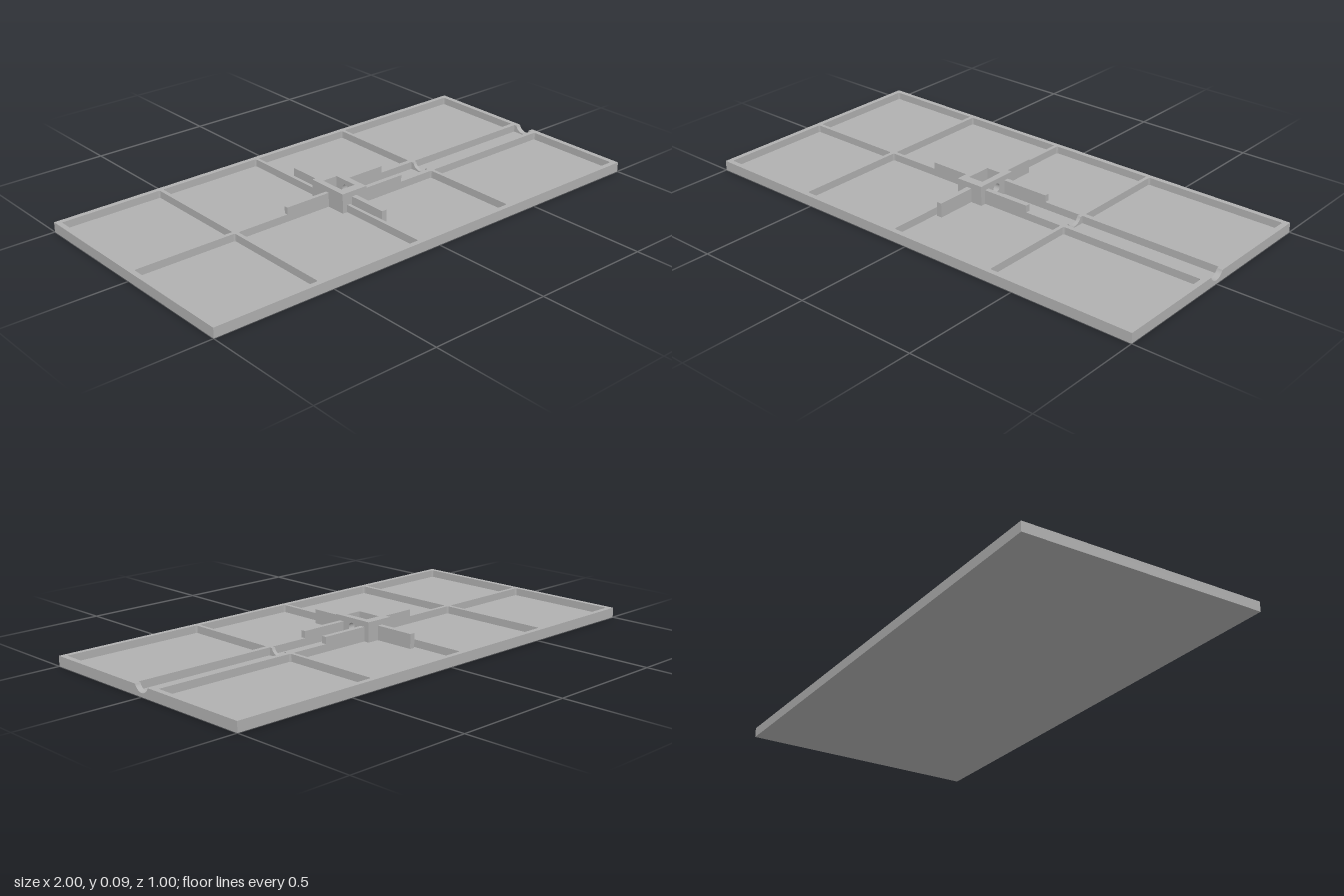
import * as THREE from 'three';

const FLOOR = 0.01, RIM = 0.04, WALL = 0.068, POST = 0.09;
const HOLE_Y = 0.053; // height of the shaft axis

export function createModel() {
  const model = new THREE.Group();
  const grey = new THREE.MeshStandardMaterial({ color: 0xb0b0b0 });
  grey.name = 'plainGrey';

  const add = (name, geometry) => {
    const mesh = new THREE.Mesh(geometry, grey);
    mesh.name = name;
    model.add(mesh);
  };

  // Box given by its lower and upper corners
  const box = (name, x0, x1, y0, y1, z0, z1) => add(name,
    new THREE.BoxGeometry(x1 - x0, y1 - y0, z1 - z0)
      .translate((x0 + x1) / 2, (y0 + y1) / 2, (z0 + z1) / 2));

  // Shape drawn in (z, y), extruded along x
  const crossWall = (name, shape, x0, x1) => add(name,
    new THREE.ExtrudeGeometry(shape, { depth: x1 - x0, bevelEnabled: false, curveSegments: 24 })
      .rotateY(Math.PI / 2).translate(x0, 0, 0));

  const polygon = (points) => new THREE.Shape(points.map(([x, y]) => new THREE.Vector2(x, y)));

  // Rectangular pocket with softly rounded corners
  const pocket = (x0, x1, z0, z1, r = 0.008) => {
    const p = new THREE.Path();
    p.moveTo(x0 + r, z0);
    p.lineTo(x1 - r, z0);
    p.quadraticCurveTo(x1, z0, x1, z0 + r);
    p.lineTo(x1, z1 - r);
    p.quadraticCurveTo(x1, z1, x1 - r, z1);
    p.lineTo(x0 + r, z1);
    p.quadraticCurveTo(x0, z1, x0, z1 - r);
    p.lineTo(x0, z0 + r);
    p.quadraticCurveTo(x0, z0, x0 + r, z0);
    return p;
  };

  // Base plate
  box('basePlate', -1, 1, 0, FLOOR, -0.5, 0.5);

  // Rim and ribs in one piece, open along the shaft channel
  const grid = polygon([
    [-1, -0.5], [1, -0.5], [1, -0.047], [-0.019, -0.047], [-0.019, -0.053], [-0.085, -0.053],
    [-0.085, 0.053], [-0.019, 0.053], [-0.019, 0.047], [1, 0.047], [1, 0.5], [-1, 0.5],
  ]);
  const bays = [
    [-0.979, -0.552, 0.008], [-0.536, -0.088, 0.008],
    [-0.073, 0.372, 0.067], [0.387, 0.978, 0.067],
  ];
  for (const [x0, x1, z] of bays) {
    grid.holes.push(pocket(x0, x1, z, 0.479), pocket(x0, x1, -0.479, -z));
  }
  add('rimAndRibs', new THREE.ExtrudeGeometry(grid,
    { depth: RIM - FLOOR, bevelEnabled: false, curveSegments: 4 })
    .rotateX(-Math.PI / 2).translate(0, FLOOR, 0));

  // Notched supports crossing the channel
  const radius = 0.038;
  const a = Math.asin((RIM - HOLE_Y) / radius);
  const saddle = new THREE.Shape();
  saddle.moveTo(-0.047, FLOOR);
  saddle.lineTo(0.047, FLOOR);
  saddle.lineTo(0.047, RIM);
  saddle.absarc(0, HOLE_Y, radius, a, -Math.PI - a, true);
  saddle.lineTo(-0.047, RIM);
  saddle.closePath();
  crossWall('middleSaddle', saddle, 0.372, 0.387);
  crossWall('endSaddle', saddle, 0.978, 1);

  // Hollow central post, with a round opening facing the channel
  box('postBackWall', -0.11, -0.085, FLOOR, POST, -0.09, 0.09);
  for (const s of [-1, 1]) {
    const [z0, z1] = s > 0 ? [0.053, 0.09] : [-0.09, -0.053];
    box('postSideWall', -0.085, -0.019, FLOOR, POST, z0, z1);
  }
  const front = polygon([[-0.09, FLOOR], [0.09, FLOOR], [0.09, POST], [-0.09, POST]]);
  const hole = new THREE.Path();
  hole.absarc(0, HOLE_Y, 0.018, 0, Math.PI * 2, false);
  front.holes.push(hole);
  crossWall('postOpenWall', front, -0.019, 0.008);

  // Raised braces around the post
  box('rearBrace', -0.31, -0.11, RIM, WALL, -0.008, 0.008);
  for (const s of [-1, 1]) {
    const [r0, r1] = s > 0 ? [0.047, 0.067] : [-0.067, -0.047];
    box('channelBrace', 0.008, 0.21, RIM, WALL, r0, r1);
    const [z0, z1] = s > 0 ? [0.09, 0.26] : [-0.26, -0.09];
    box('sideBrace', -0.064, -0.042, FLOOR, WALL, z0, z1);
  }

  return model;
}
